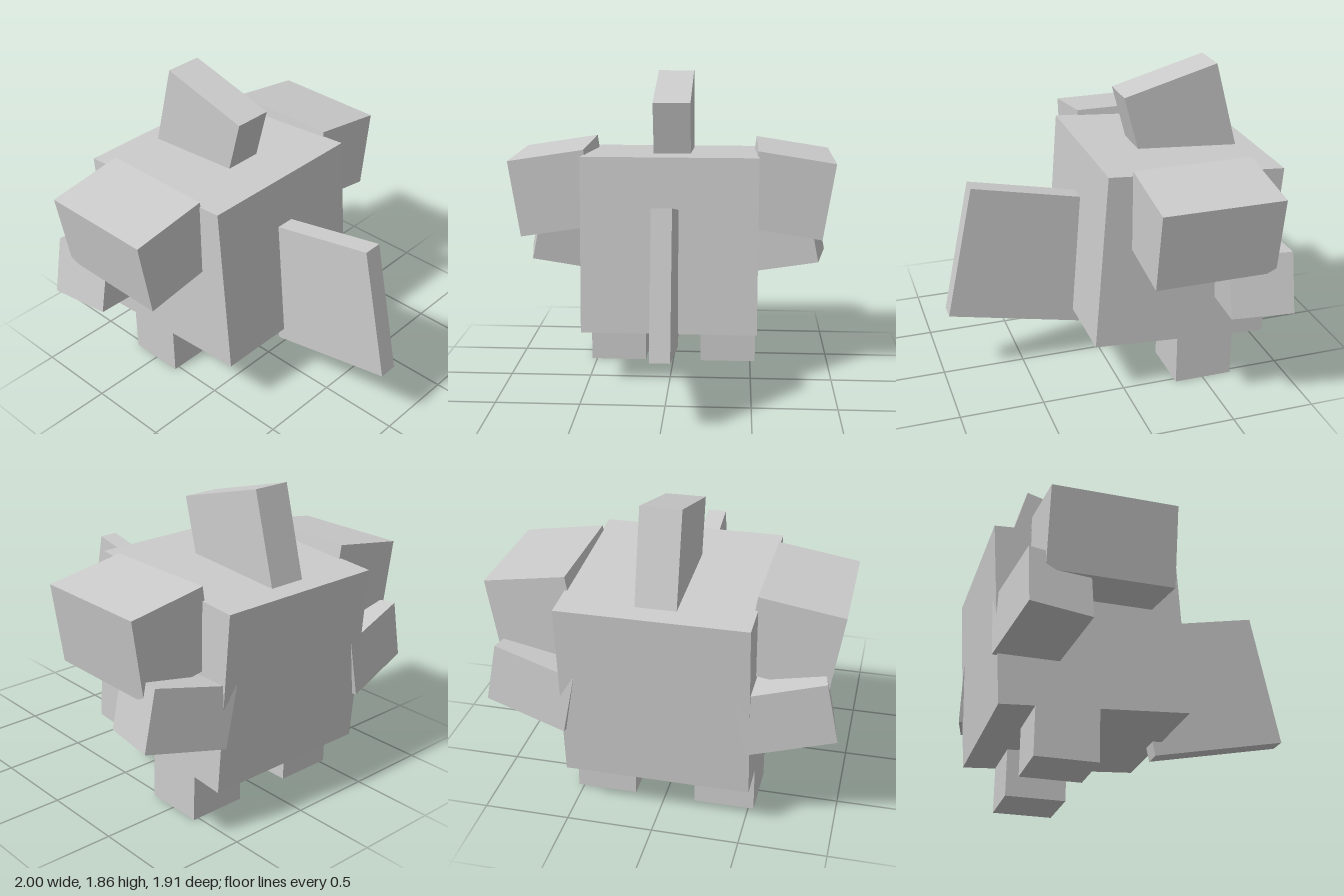
import * as THREE from 'three';

export function createModel() {
  const group = new THREE.Group();
  const material = new THREE.MeshStandardMaterial({ color: 0xcccccc, flatShading: true });

  function block(name, size, position, rotation = [0, 0, 0]) {
    const mesh = new THREE.Mesh(new THREE.BoxGeometry(...size), material);
    mesh.name = name;
    mesh.position.set(...position);
    mesh.rotation.set(...rotation, 'ZYX');
    group.add(mesh);
  }

  // Cube body leaning slightly back
  block('body', [1.064, 1.066, 1.066], [0, 0.833, -0.383], [-0.07, 0, 0]);
  // Thin square plate projecting from the front
  block('frontPlate', [0.114, 0.828, 0.828], [0, 0.74, 0.467], [-0.207, 0, 0]);
  // Tilted crest on top
  block('topCrest', [0.23, 0.59, 0.59], [0, 1.493, -0.482], [0.266, 0, 0]);

  // Paired limbs, mirrored across x
  for (const [side, s] of [['left', 1], ['right', -1]]) {
    block(side + 'UpperBlock', [0.474, 0.474, 0.71], [s * 0.727, 1.152, -0.385], [0, 0, s * -0.155]);
    block(side + 'LowerBlock', [0.5, 0.36, 0.36], [s * 0.692, 0.766, -0.702], [0, s * -0.178, s * 0.2]);
    block(side + 'Leg', [0.354, 0.355, 0.355], [s * 0.355, 0.1775, -0.503]);
  }
  return group;
}
